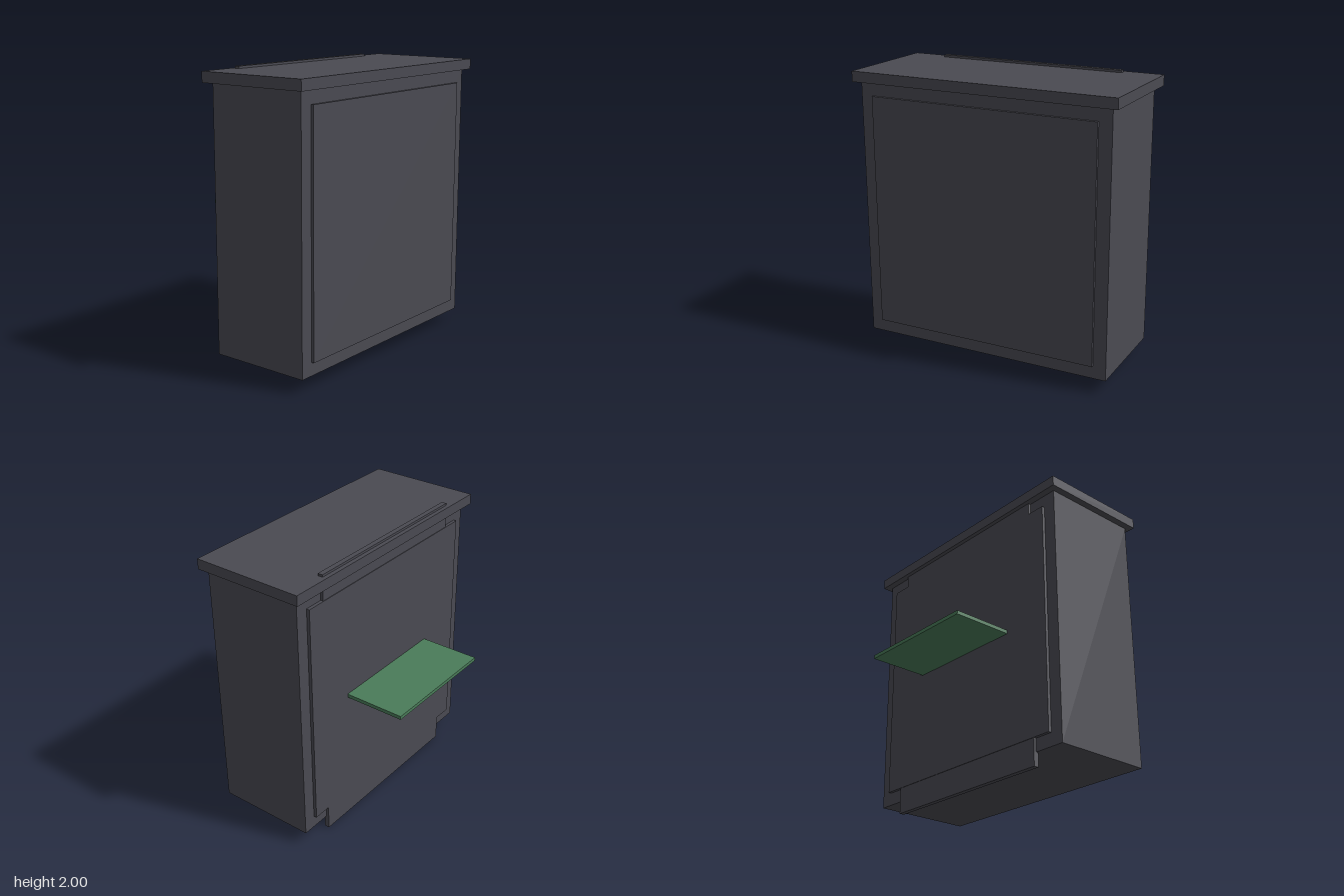
import * as THREE from 'three';

export function createModel() {
  const group = new THREE.Group();
  const grey = new THREE.MeshStandardMaterial({ color: 0x4a4a52 });
  grey.name = 'dark grey';
  const green = new THREE.MeshStandardMaterial({ color: 0x4a7c59 });
  green.name = 'green';

  // Box centred on x, given its half width and its y and z extents
  function slab(name, material, halfWidth, y0, y1, z0, z1) {
    const geometry = new THREE.BoxGeometry(halfWidth * 2, y1 - y0, z1 - z0);
    const mesh = new THREE.Mesh(geometry, material);
    mesh.name = name;
    mesh.position.set(0, (y0 + y1) / 2, (z0 + z1) / 2);
    group.add(mesh);
  }

  // Cabinet and overhanging top
  slab('cabinetBody', grey, 0.908, 0.095, 1.911, -0.155, 0.572);
  slab('cabinetTop', grey, 0.955, 1.911, 1.984, -0.204, 0.613);

  // Raised panels on the front and back
  slab('frontPanel', grey, 0.817, 0.186, 1.82, 0.572, 0.591);
  slab('backPanel', grey, 0.817, 0.186, 1.82, -0.178, -0.155);

  // Tall plate passing through the cabinet near its back
  slab('backPlate', grey, 0.681, 0, 2, -0.174, -0.138);

  // Green shelf sticking out of the back
  slab('shelf', green, 0.454, 0.989, 1.015, -0.613, -0.174);

  return group;
}
